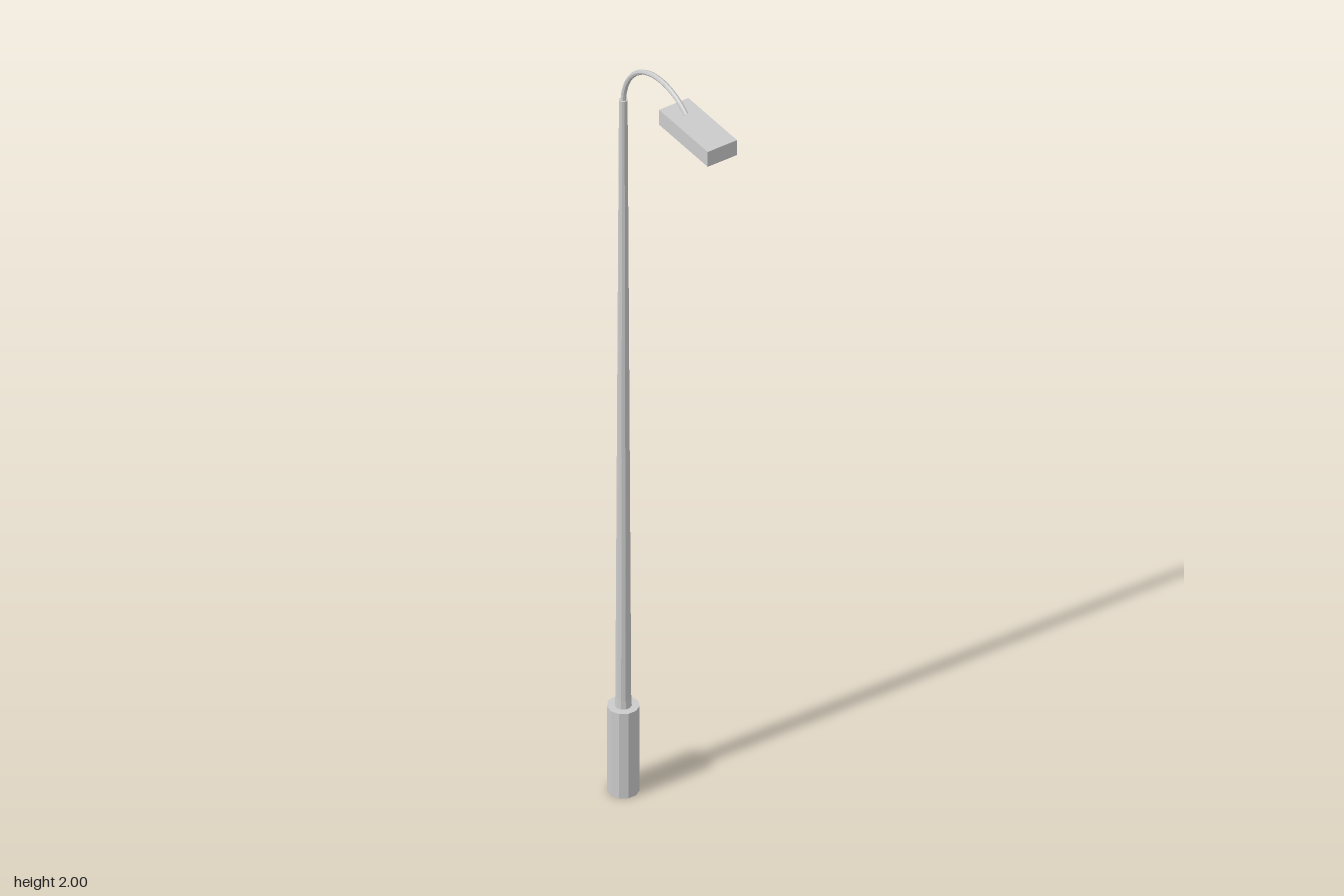
import * as THREE from 'three';

const POLE_Z = -0.173;
const SIDES = 11;

export function createModel() {
  const model = new THREE.Group();
  const material = new THREE.MeshStandardMaterial({ color: 0xcccccc, flatShading: true });

  const add = (name, geometry, x, y, z) => {
    const mesh = new THREE.Mesh(geometry, material);
    mesh.name = name;
    mesh.position.set(x, y, z);
    model.add(mesh);
    return mesh;
  };

  // Wide footing with a corner pointing backwards
  add('base', new THREE.CylinderGeometry(0.0358, 0.0358, 0.227, SIDES), 0, 0.1135, POLE_Z)
    .rotation.y = Math.PI;

  // Tapered pole with a slight flare at the foot and a closed top
  const profile = [[0.019, 0.22], [0.0175, 0.25], [0.0095, 1.855], [0, 1.855]]
    .map(([r, y]) => new THREE.Vector2(r, y));
  add('pole', new THREE.LatheGeometry(profile, SIDES), 0, 0, POLE_Z).rotation.y = Math.PI;

  // Curved arm: rises from the pole, arcs over and dips into the lamp
  const radius = 0.149, centreY = 1.845, centreZ = POLE_Z + radius;
  const points = [];
  for (let i = 0; i <= 12; i++) {
    const a = Math.PI - (i / 12) * Math.PI * 0.715;
    points.push(new THREE.Vector3(0, centreY + radius * Math.sin(a), centreZ + radius * Math.cos(a)));
  }
  const arm = new THREE.TubeGeometry(new THREE.CatmullRomCurve3(points), 24, 0.006, 8);
  add('arm', arm, 0, 0, 0);

  // Flat lamp head
  add('lampHead', new THREE.BoxGeometry(0.077, 0.04, 0.187), 0, 1.941, 0.1145);

  return model;
}
